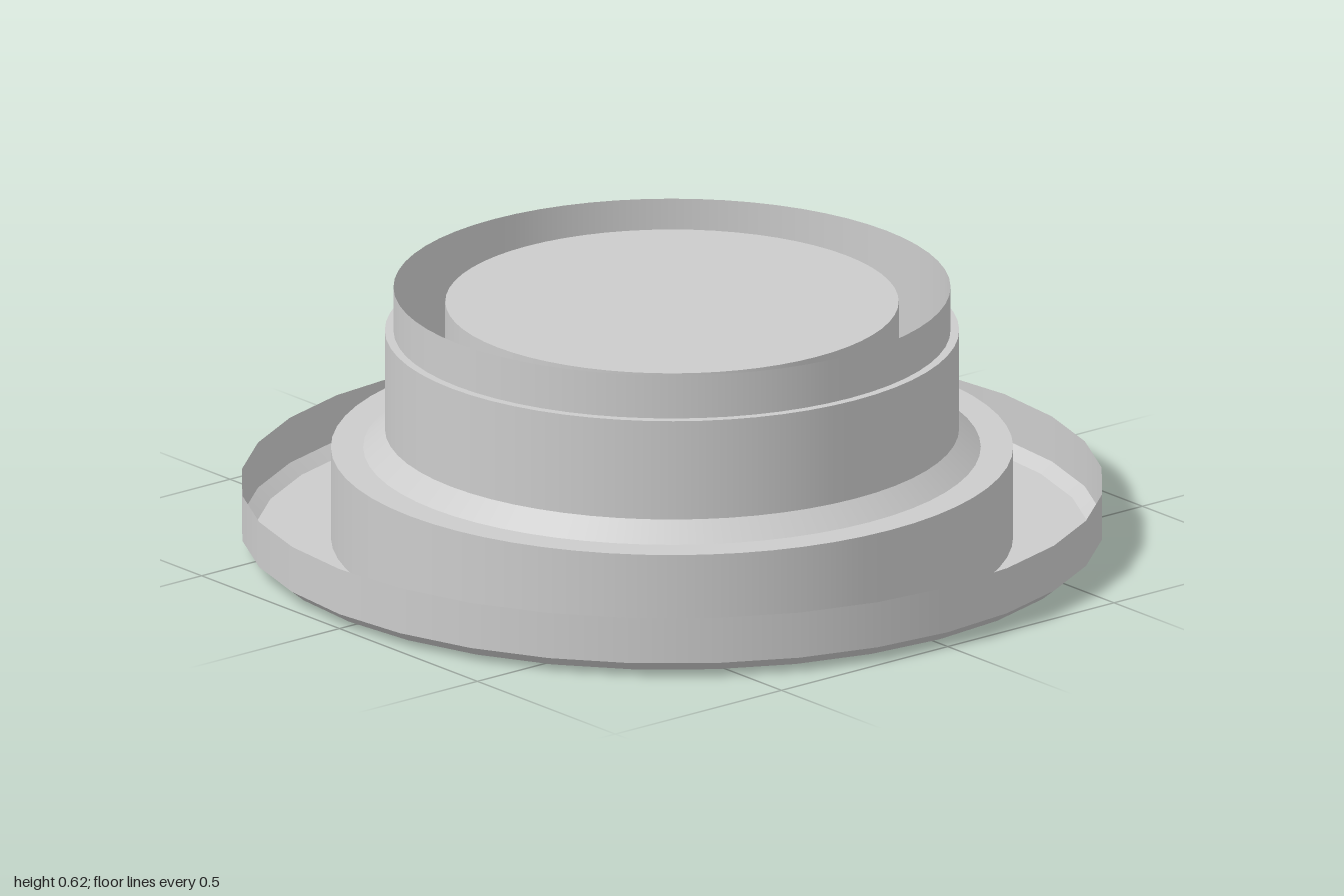
import * as THREE from 'three';

const material = new THREE.MeshStandardMaterial({ color: 0xcccccc, side: THREE.DoubleSide });

// Each pair of neighbouring [radius, y] points becomes its own band, so edges stay crisp.
function turned(name, profile, segments) {
  const group = new THREE.Group();
  group.name = name;
  for (let i = 0; i + 1 < profile.length; i++) {
    const points = [profile[i], profile[i + 1]].map(([r, y]) => new THREE.Vector2(r, y));
    const band = new THREE.Mesh(new THREE.LatheGeometry(points, segments), material);
    band.name = name + 'Band' + (i + 1);
    group.add(band);
  }
  return group;
}

export function createModel() {
  const model = new THREE.Group();
  model.name = 'flangedCap';

  // Shallow open tray with a chamfered lower edge
  model.add(turned('tray', [[0, 0.01], [0.97, 0.01], [1, 0.035], [1, 0.145]], 32));

  // Thin plate under the tray
  model.add(turned('basePlate', [[0, 0], [0.89, 0]], 64));

  // Stepped collar, open at the top
  model.add(turned('collar', [
    [0.79, 0.01], [0.79, 0.23], [0.715, 0.23], [0.665, 0.275],
    [0.665, 0.515], [0.645, 0.515], [0.645, 0.62],
  ], 64));

  // Inner wall of the rim, recessed floor, sloped shoulder and central plug
  model.add(turned('plug', [
    [0.645, 0.515], [0.645, 0.36], [0.61, 0.36], [0.525, 0.44], [0.525, 0.585], [0, 0.585],
  ], 64));

  return model;
}
